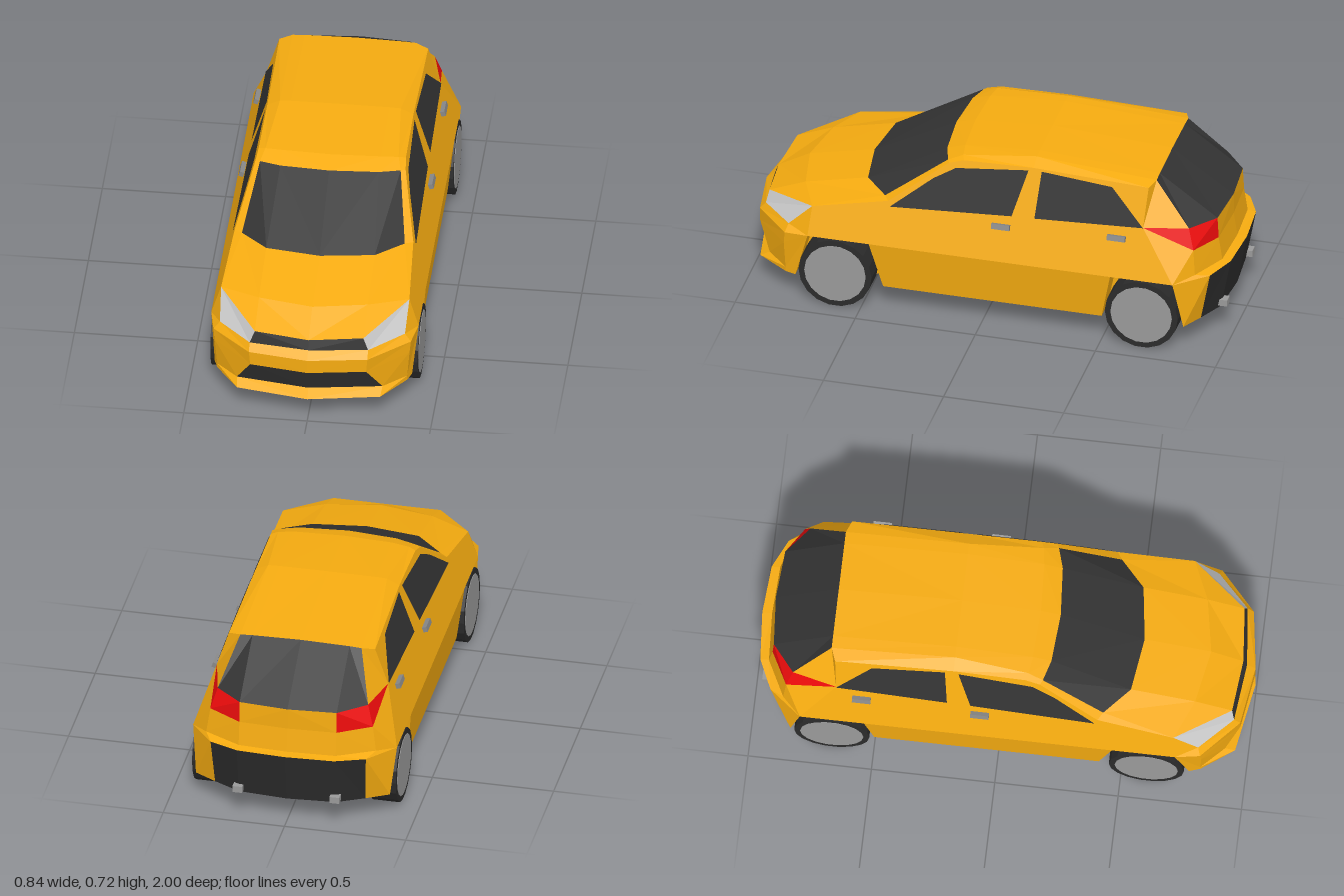
import * as THREE from 'three';

const PAINT = 0xf5ab10, DARK = 0x333333;
const COLORS = {
  bodyShell: PAINT, sidePanels: PAINT, floorPan: PAINT, wheelWells: PAINT,
  windscreen: DARK, rearWindow: DARK, sideWindows: DARK,
  upperGrille: DARK, lowerGrille: DARK, rearBumper: 0x2b2b2b,
  headlights: 0xcccccc, tailLights: 0xee0c0c,
};

const material = (color) => new THREE.MeshStandardMaterial({ color, flatShading: true, side: THREE.DoubleSide });

// The flanks lean inwards as one flat plane above the shoulder line
const sideX = (y) => 0.42 - 0.32 * (y - 0.31);
const side = (y, z) => [sideX(y), y, z];

export function createModel() {
  const car = new THREE.Group();
  car.name = 'hatchback';
  const parts = {};

  // Adds a triangle and its mirror image to a named part
  function tri(part, a, b, c) {
    const va = new THREE.Vector3(...a), vb = new THREE.Vector3(...b), vc = new THREE.Vector3(...c);
    if (vb.sub(va).cross(vc.sub(va)).length() < 1e-7) return;
    const flip = ([x, y, z]) => [-x, y, z];
    (parts[part] ??= []).push(...a, ...b, ...c, ...flip(a), ...flip(c), ...flip(b));
  }

  // Skins neighbouring cross-section rows; partOf names each cell
  function loft(rows, partOf) {
    for (let r = 0; r < rows.length - 1; r++) {
      for (let c = 0; c < rows[r].length - 1; c++) {
        const p = partOf(r, c);
        tri(p, rows[r][c], rows[r][c + 1], rows[r + 1][c + 1]);
        tri(p, rows[r][c], rows[r + 1][c + 1], rows[r + 1][c]);
      }
    }
  }

  // Fills a flat outline, placing its 2D points in space with a rule
  function panel(part, outline, place, reverse) {
    const g = new THREE.ShapeGeometry(new THREE.Shape(outline.map((p) => new THREE.Vector2(...p))));
    const pos = g.attributes.position, idx = g.index.array;
    const at = (i) => place(pos.getX(i), pos.getY(i));
    for (let i = 0; i < idx.length; i += 3) {
      const [a, b, c] = [at(idx[i]), at(idx[i + 1]), at(idx[i + 2])];
      if (reverse) tri(part, a, c, b); else tri(part, a, b, c);
    }
  }

  // Nose, from the front lip up to the bonnet edge (half, centre to flank)
  const lamp = side(0.43, 0.71), archFront = side(0.31, 0.72);
  const bonnetEdge = [[0, 0.367, 0.95], [0.22, 0.38, 0.93], lamp, lamp];
  const nose = [
    [[0, 0.11, 1], [0.29, 0.11, 0.95], [0.385, 0.11, 0.82], [0.4, 0.11, 0.775]],
    [[0, 0.135, 0.955], [0.295, 0.135, 0.91], [0.385, 0.13, 0.82], [0.4, 0.11, 0.775]],
    [[0, 0.24, 1], [0.235, 0.24, 0.965], [0.395, 0.25, 0.825], archFront],
    [[0, 0.3, 1], [0.24, 0.3, 0.965], [0.4, 0.3, 0.82], archFront],
    [[0, 0.328, 0.965], [0.24, 0.33, 0.94], [0.375, 0.33, 0.81], archFront],
    bonnetEdge,
  ];
  loft(nose, (r, c) => {
    if (r === 1 && c === 0) return 'lowerGrille';
    if (r === 4 && c === 0) return 'upperGrille';
    return r === 4 && c === 1 ? 'headlights' : 'bodyShell';
  });

  // Bonnet, windscreen and roof
  const roofEnd = [[0, 0.697, -0.69], [0.2, 0.693, -0.69], [0.25, 0.69, -0.69], side(0.68, -0.67)];
  const cabin = [
    bonnetEdge,
    [[0, 0.44, 0.82], [0.22, 0.44, 0.78], lamp, lamp],
    [[0, 0.5, 0.55], [0.22, 0.5, 0.52], [0.33, 0.495, 0.42], side(0.49, 0.4)],
    [[0, 0.68, 0.21], [0.2, 0.678, 0.195], [0.285, 0.675, 0.17], side(0.672, 0.16)],
    [[0, 0.703, 0.13], [0.2, 0.702, 0.12], [0.27, 0.698, 0.11], side(0.69, 0.1)],
    [[0, 0.725, -0.19], [0.2, 0.724, -0.19], [0.245, 0.722, -0.19], side(0.697, -0.19)],
    roofEnd,
  ];
  loft(cabin, (r, c) => (r === 2 && c < 2 ? 'windscreen' : 'bodyShell'));

  // Tail, from the roof edge down to the bumper
  const lightTip = side(0.52, -0.66), archRear = side(0.31, -0.8);
  const tail = [
    roofEnd,
    [[0, 0.52, -0.945], [0.2, 0.52, -0.93], [0.31, 0.52, -0.84], lightTip],
    [[0, 0.43, -0.945], [0.2, 0.43, -0.935], [0.335, 0.435, -0.865], lightTip],
    [[0, 0.33, -0.96], [0.2, 0.33, -0.95], [0.35, 0.33, -0.875], archRear],
    [[0, 0.328, -1], [0.2, 0.325, -0.985], [0.32, 0.318, -0.93], archRear],
    [[0, 0.11, -0.96], [0.2, 0.11, -0.945], [0.31, 0.11, -0.89], [0.4, 0.11, -0.84]],
  ];
  loft(tail, (r, c) => {
    if (r === 0 && c < 2) return 'rearWindow';
    if (r === 1 && c > 0) return 'tailLights';
    return r === 4 && c < 2 ? 'rearBumper' : 'bodyShell';
  });

  // Upper flanks (z, y) and the sill between the wheel arches
  panel('sidePanels', [
    [0.72, 0.31], [0.71, 0.43], [0.4, 0.49], [0.16, 0.672], [0.1, 0.69],
    [-0.19, 0.697], [-0.67, 0.68], [-0.66, 0.52], [-0.8, 0.31],
  ], (z, y) => side(y, z), true);
  loft([
    [[0.4, 0.11, 0.41], [0.4, 0.11, -0.5]],
    [side(0.31, 0.465), side(0.31, -0.54)],
  ], () => 'sidePanels');

  // Side windows, just proud of the flank
  const windows = [
    [[0.39, 0.47], [0.22, 0.605], [0.13, 0.657], [-0.17, 0.686], [-0.115, 0.497]],
    [[-0.21, 0.5], [-0.225, 0.688], [-0.52, 0.665], [-0.66, 0.52]],
  ];
  for (const w of windows) panel('sideWindows', w, (z, y) => [sideX(y) + 0.003, y, z], true);

  // Wheel wells: arch profile (z, y) swept inwards, closed by an inner wall
  const arches = [
    [[0.775, 0.11], [0.72, 0.31], [0.465, 0.31], [0.41, 0.11]],
    [[-0.5, 0.11], [-0.54, 0.31], [-0.8, 0.31], [-0.84, 0.11]],
  ];
  for (const arch of arches) {
    loft([
      arch.map(([z, y]) => [0.31, y, z]),
      arch.map(([z, y]) => [y > 0.2 ? 0.42 : 0.4, y, z]),
    ], () => 'wheelWells');
    panel('wheelWells', arch, (z, y) => [0.31, y, z], true);
  }

  // Underside, notched around the wheels (x, z)
  const notch = (arch) => [[0.4, arch[0][0]], [0.31, arch[0][0]], [0.31, arch[3][0]], [0.4, arch[3][0]]];
  panel('floorPan', [
    [0, 1], [0.29, 0.95], [0.385, 0.82], ...notch(arches[0]), ...notch(arches[1]),
    [0.31, -0.89], [0.2, -0.945], [0, -0.96],
  ], (x, z) => [x, 0.11, z], false);

  for (const [name, positions] of Object.entries(parts)) {
    const g = new THREE.BufferGeometry();
    g.setAttribute('position', new THREE.Float32BufferAttribute(positions, 3));
    g.computeVertexNormals();
    const mesh = new THREE.Mesh(g, material(COLORS[name]));
    mesh.name = name;
    car.add(mesh);
  }

  function add(name, geometry, color, x, y, z, tilt = 0) {
    const mesh = new THREE.Mesh(geometry, material(color));
    mesh.name = name;
    mesh.position.set(x, y, z);
    mesh.rotation.z = tilt;
    car.add(mesh);
  }

  // Wheels, door handles and exhaust tips on both sides
  const tyre = new THREE.CylinderGeometry(0.152, 0.152, 0.11, 18).rotateZ(Math.PI / 2);
  const hub = new THREE.CylinderGeometry(0.128, 0.128, 0.114, 18).rotateZ(Math.PI / 2);
  const handle = new THREE.BoxGeometry(0.02, 0.022, 0.075);
  const exhaust = new THREE.BoxGeometry(0.04, 0.028, 0.09);
  for (const s of [1, -1]) {
    for (const z of [0.605, -0.67]) {
      add('tyre', tyre, 0x2b2b2b, s * 0.365, 0.152, z);
      add('wheelHub', hub, 0x999999, s * 0.365, 0.152, z);
    }
    for (const [y, z] of [[0.453, -0.075], [0.47, -0.555]]) {
      add('doorHandle', handle, 0x888888, s * (sideX(y) + 0.009), y, z, s * 0.31);
    }
    add('exhaustTip', exhaust, 0x999999, s * 0.2, 0.135, -0.93);
  }
  return car;
}
